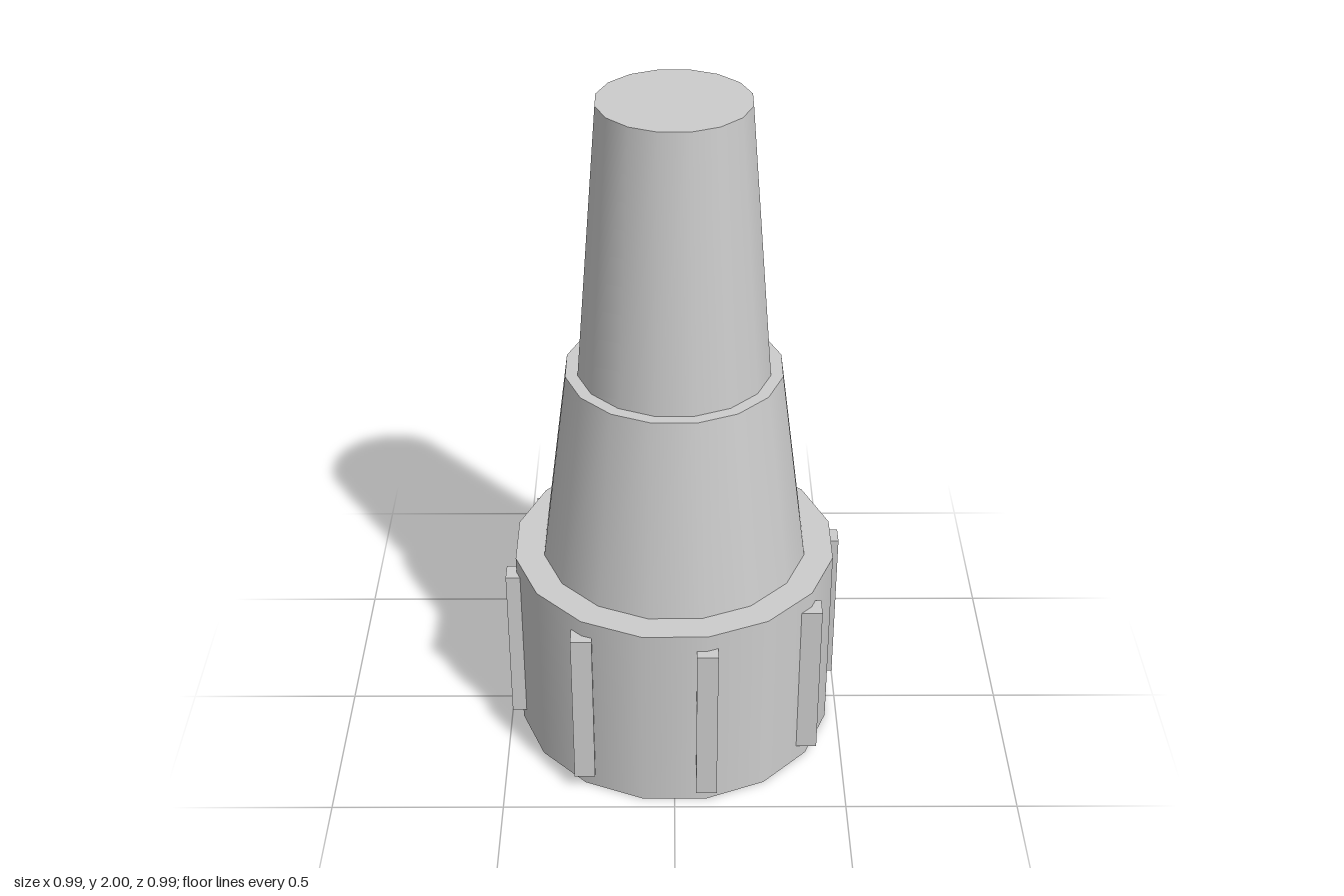
import * as THREE from 'three';

const SIDES = 16;
const TURN = Math.PI / SIDES; // half a side, so flats face the axes

export function createModel() {
  const model = new THREE.Group();
  model.name = 'steppedNozzle';

  const grey = new THREE.MeshStandardMaterial({ color: 0xcccccc, side: THREE.DoubleSide });
  grey.name = 'grey plastic';

  function add(name, geometry, x, y, z, parent = model) {
    const mesh = new THREE.Mesh(geometry, grey);
    mesh.name = name;
    mesh.position.set(x, y, z);
    parent.add(mesh);
    return mesh;
  }

  // Open tapered wall between two heights
  function wall(name, rBottom, rTop, y0, y1) {
    const geometry = new THREE.CylinderGeometry(rTop, rBottom, y1 - y0, SIDES, 1, true, TURN);
    add(name, geometry, 0, (y0 + y1) / 2, 0);
  }

  // Flat upward-facing step
  function step(name, rInner, rOuter, y) {
    const geometry = new THREE.RingGeometry(rInner, rOuter, SIDES, 1, TURN);
    geometry.rotateX(-Math.PI / 2);
    add(name, geometry, 0, y, 0);
  }

  // Hollow shell: collar, middle cone and tip
  wall('collar', 0.474, 0.474, 0, 0.6);
  step('collarStep', 0.389, 0.474, 0.6);
  wall('middleCone', 0.389, 0.31, 0.6, 1.2);
  step('middleStep', 0.275, 0.31, 1.2);
  wall('tip', 0.275, 0.21, 1.2, 2);

  // Closed end of the tip
  const cap = new THREE.CircleGeometry(0.21, SIDES, TURN);
  cap.rotateX(-Math.PI / 2);
  add('tipCap', cap, 0, 2, 0);

  // Square grip ribs on every other corner of the collar
  const ribs = new THREE.Group();
  ribs.name = 'gripRibs';
  model.add(ribs);
  const ribGeometry = new THREE.BoxGeometry(0.06, 0.5, 0.06);
  for (let i = 0; i < 8; i++) {
    const a = TURN + (i * Math.PI) / 4;
    add('gripRib', ribGeometry, 0.474 * Math.sin(a), 0.3, 0.474 * Math.cos(a), ribs);
  }

  return model;
}
